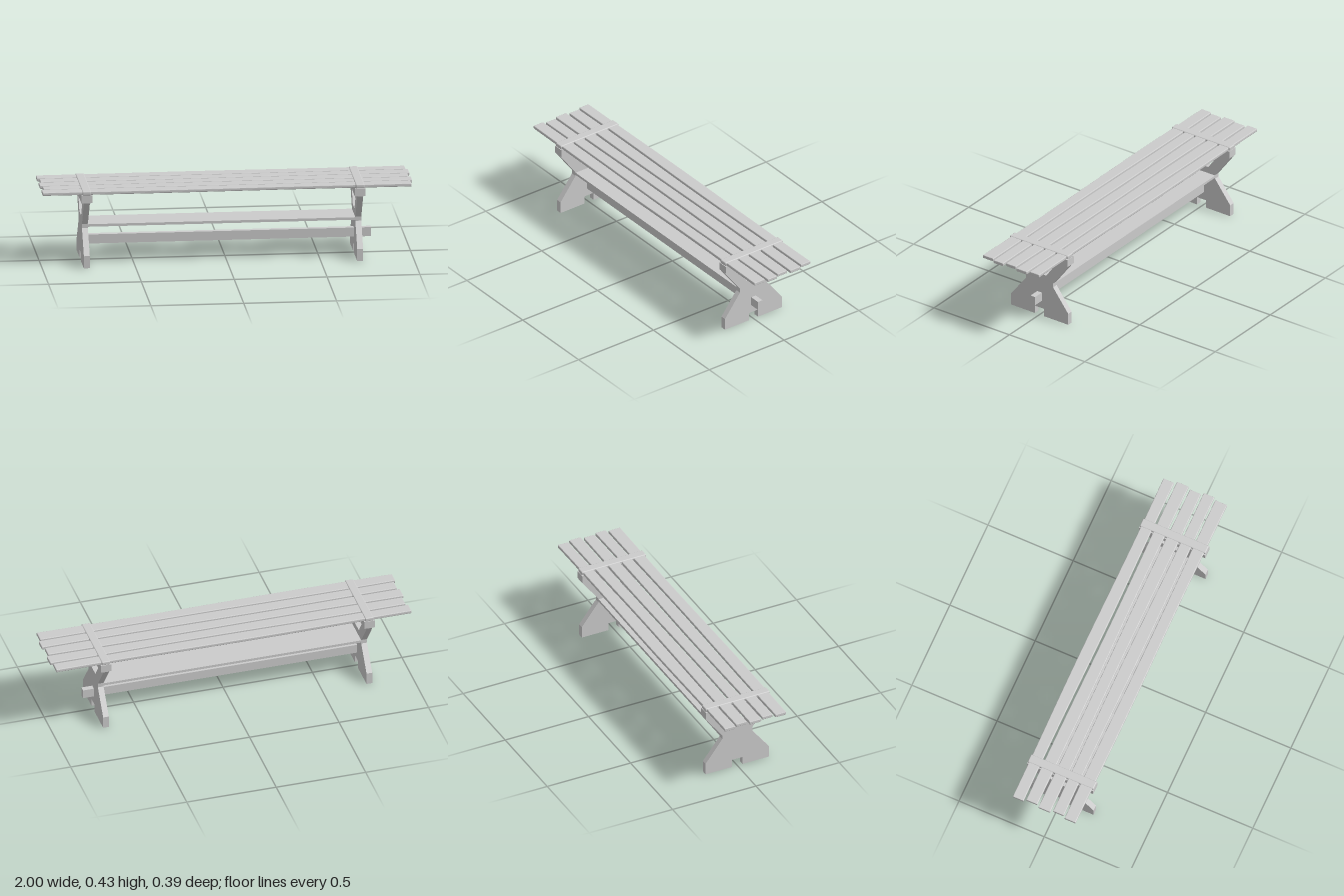
import * as THREE from 'three';
import { RoundedBoxGeometry } from 'three/addons/geometries/RoundedBoxGeometry.js';

const material = new THREE.MeshStandardMaterial({ color: 0xcccccc });
const LEG_X = [-0.762, 0.71];

function addMesh(parent, name, geometry, x = 0, y = 0, z = 0) {
  const mesh = new THREE.Mesh(geometry, material);
  mesh.name = name;
  mesh.position.set(x, y, z);
  parent.add(mesh);
  return mesh;
}

// Hourglass trestle board with foot notch and trapezoid opening
function legGeometry(thickness) {
  const half = [[0.031, 0], [0.19, 0], [0.19, 0.067], [0.09, 0.197], [0.09, 0.22], [0.194, 0.36], [0.194, 0.362]];
  const points = [[0.031, 0.045], ...half];
  const mirrored = points.map(([z, y]) => [-z, y]).reverse();
  const toVec = ([z, y]) => new THREE.Vector2(z, y);
  const shape = new THREE.Shape([...points, ...mirrored].map(toVec));
  const hole = [[-0.096, 0.326], [0.096, 0.326], [0.045, 0.254], [-0.045, 0.254]];
  shape.holes.push(new THREE.Path(hole.map(toVec)));
  const geometry = new THREE.ExtrudeGeometry(shape, { depth: thickness, bevelEnabled: false });
  geometry.translate(0, 0, -thickness / 2);
  return geometry.rotateY(Math.PI / 2);
}

// Plank with softly rounded cross-section and slightly wavering hand-cut edges
function slatGeometry(index) {
  const length = 1.985, height = 0.018, width = 0.066, radius = 0.005;
  const w = width / 2, h = height / 2;
  const shape = new THREE.Shape();
  shape.moveTo(-w + radius, -h);
  shape.lineTo(w - radius, -h);
  shape.quadraticCurveTo(w, -h, w, -h + radius);
  shape.lineTo(w, h - radius);
  shape.quadraticCurveTo(w, h, w - radius, h);
  shape.lineTo(-w + radius, h);
  shape.quadraticCurveTo(-w, h, -w, h - radius);
  shape.lineTo(-w, -h + radius);
  shape.quadraticCurveTo(-w, -h, -w + radius, -h);
  const geometry = new THREE.ExtrudeGeometry(shape, {
    depth: length - 0.006, steps: 20, curveSegments: 4,
    bevelThickness: 0.003, bevelSize: 0.003, bevelOffset: -0.003, bevelSegments: 2,
  });
  geometry.translate(0, 0, -length / 2 + 0.003);
  geometry.rotateY(Math.PI / 2);
  const pos = geometry.attributes.position;
  for (let i = 0; i < pos.count; i++) {
    const x = pos.getX(i), z = pos.getZ(i);
    const waver = 0.0025 * Math.sin(x * 4 + index * 2.1 + Math.sign(z));
    pos.setZ(i, z + waver);
  }
  return geometry;
}

export function createModel() {
  const bench = new THREE.Group();
  bench.name = 'bench';

  // Two trestles, each with a bearer under the seat and a strap over it
  LEG_X.forEach((x, i) => {
    const trestle = new THREE.Group();
    trestle.name = i ? 'leftTrestle' : 'rightTrestle';
    trestle.position.x = x;
    bench.add(trestle);
    addMesh(trestle, 'leg', legGeometry(0.032));
    addMesh(trestle, 'bearer', new THREE.BoxGeometry(0.058, 0.043, 0.388), 0, 0.3825, 0);
    addMesh(trestle, 'strap', new RoundedBoxGeometry(0.048, 0.022, 0.386, 3, 0.006), 0, 0.4145, 0);
  });

  // Seat slats
  const seat = new THREE.Group();
  seat.name = 'seat';
  bench.add(seat);
  [-0.155, -0.078, -0.001, 0.076, 0.152].forEach((z, i) => {
    addMesh(seat, 'slat', slatGeometry(i), (i % 2 - 0.5) * 0.012, 0.4135, z);
  });

  // Shelf between the trestle waists
  addMesh(bench, 'shelf', new THREE.BoxGeometry(1.46, 0.014, 0.18), -0.026, 0.21, 0);

  // Stretcher beam, passing through the left trestle
  addMesh(bench, 'stretcher', new THREE.BoxGeometry(1.535, 0.05, 0.03), 0.0195, 0.115, 0);

  return bench;
}
